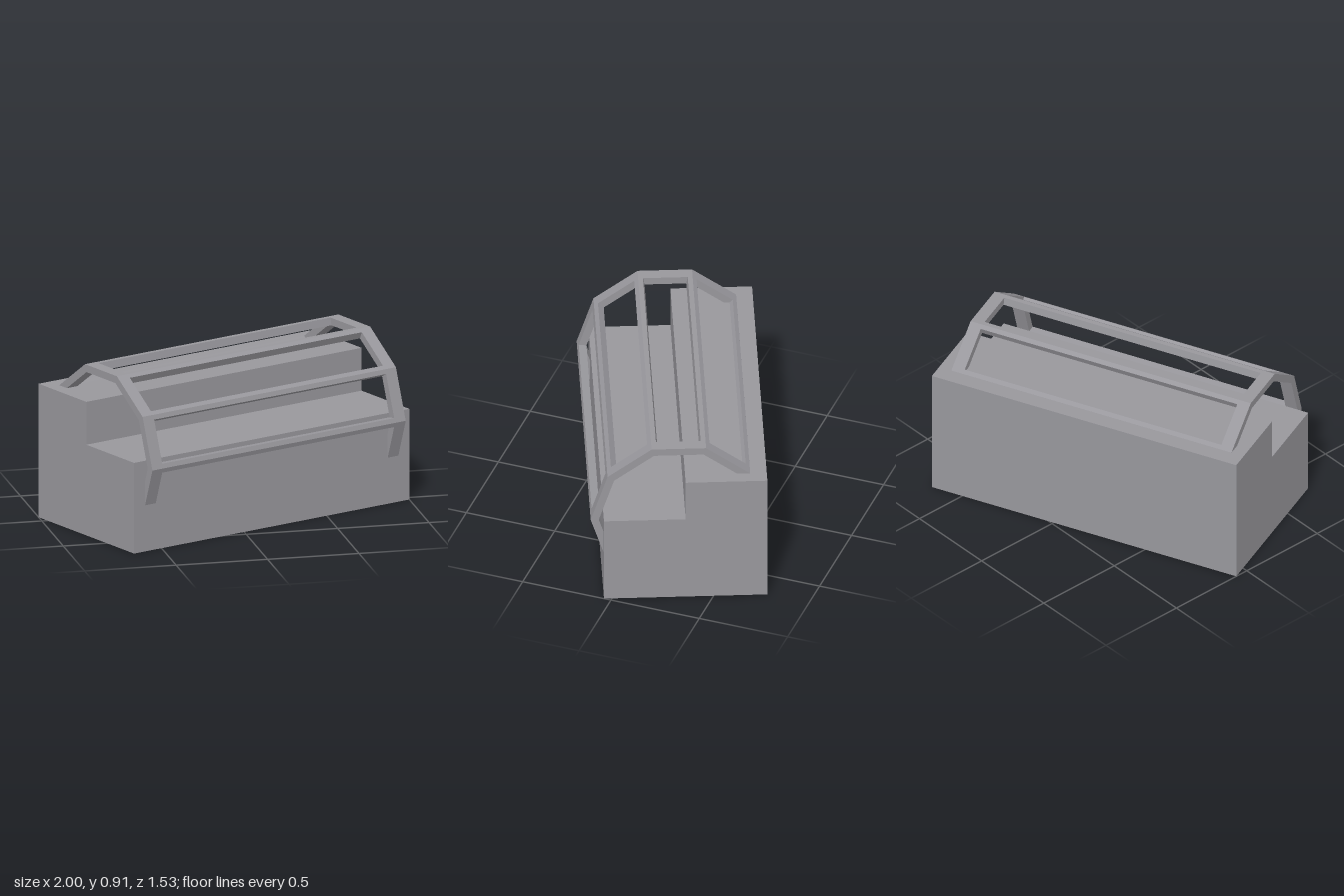
import * as THREE from 'three';

const LENGTH = 1.804, HALF_WIDTH = 0.4355;     // stepped block
const FRAME_HALF = 0.83, END_WIDTH = 0.07;     // frame along its axis
const CENTER_Z = 0.033, CENTER_Y = 0.463;      // axis of the ten-sided frame
const OUTER = 0.47, INNER = 0.427;

// Corner k of a ten-sided profile, as (z, y)
function corner(k, radius) {
  const a = k * Math.PI / 5;
  return new THREE.Vector2(CENTER_Z + radius * Math.cos(a), CENTER_Y + radius * Math.sin(a));
}

// Point a set distance from corner k towards a neighbouring corner
function along(k, step, radius, distance) {
  const p = corner(k, radius);
  const dir = corner(k + step, radius).sub(p).normalize();
  return p.addScaledVector(dir, distance);
}

// Extrude a (z, y) profile along x, centred on x = 0
function prism(points, length) {
  const g = new THREE.ExtrudeGeometry(new THREE.Shape(points), { depth: length, bevelEnabled: false });
  g.translate(0, 0, -length / 2);
  g.rotateY(-Math.PI / 2);
  return g;
}

export function createModel() {
  const model = new THREE.Group();
  const body = new THREE.Group();
  body.name = 'steppedBlockWithFrame';
  body.rotation.y = Math.PI / 8;
  body.position.z = -0.0175;
  model.add(body);

  const grey = new THREE.MeshStandardMaterial({ color: 0x98979c });
  grey.name = 'grey';

  function add(name, geometry, x = 0) {
    const mesh = new THREE.Mesh(geometry, grey);
    mesh.name = name;
    mesh.position.x = x;
    body.add(mesh);
  }

  // Block: tall at the back, lower at the front
  const step = [
    [-HALF_WIDTH, 0], [HALF_WIDTH, 0], [HALF_WIDTH, 0.502],
    [0, 0.502], [0, 0.739], [-HALF_WIDTH, 0.739],
  ].map(([z, y]) => new THREE.Vector2(z, y));
  add('steppedBlock', prism(step, LENGTH));

  // Arched end hoops, their feet sunk into the block
  const hoop = [];
  for (let k = -1; k <= 4; k++) hoop.push(corner(k, OUTER));
  for (let k = 4; k >= -1; k--) hoop.push(corner(k, INNER));
  for (const side of [-1, 1]) {
    add(side > 0 ? 'leftHoop' : 'rightHoop', prism(hoop, END_WIDTH), side * (FRAME_HALF - END_WIDTH / 2));
  }

  // Long bars joining the hoops at every corner
  for (let k = 0; k <= 4; k++) {
    const bar = [
      along(k, -1, OUTER, 0.026), corner(k, OUTER), along(k, 1, OUTER, 0.026),
      along(k, 1, INNER, 0.021), corner(k, INNER), along(k, -1, INNER, 0.021),
    ];
    add('longBar', prism(bar, 2 * (FRAME_HALF - END_WIDTH)));
  }

  return model;
}
